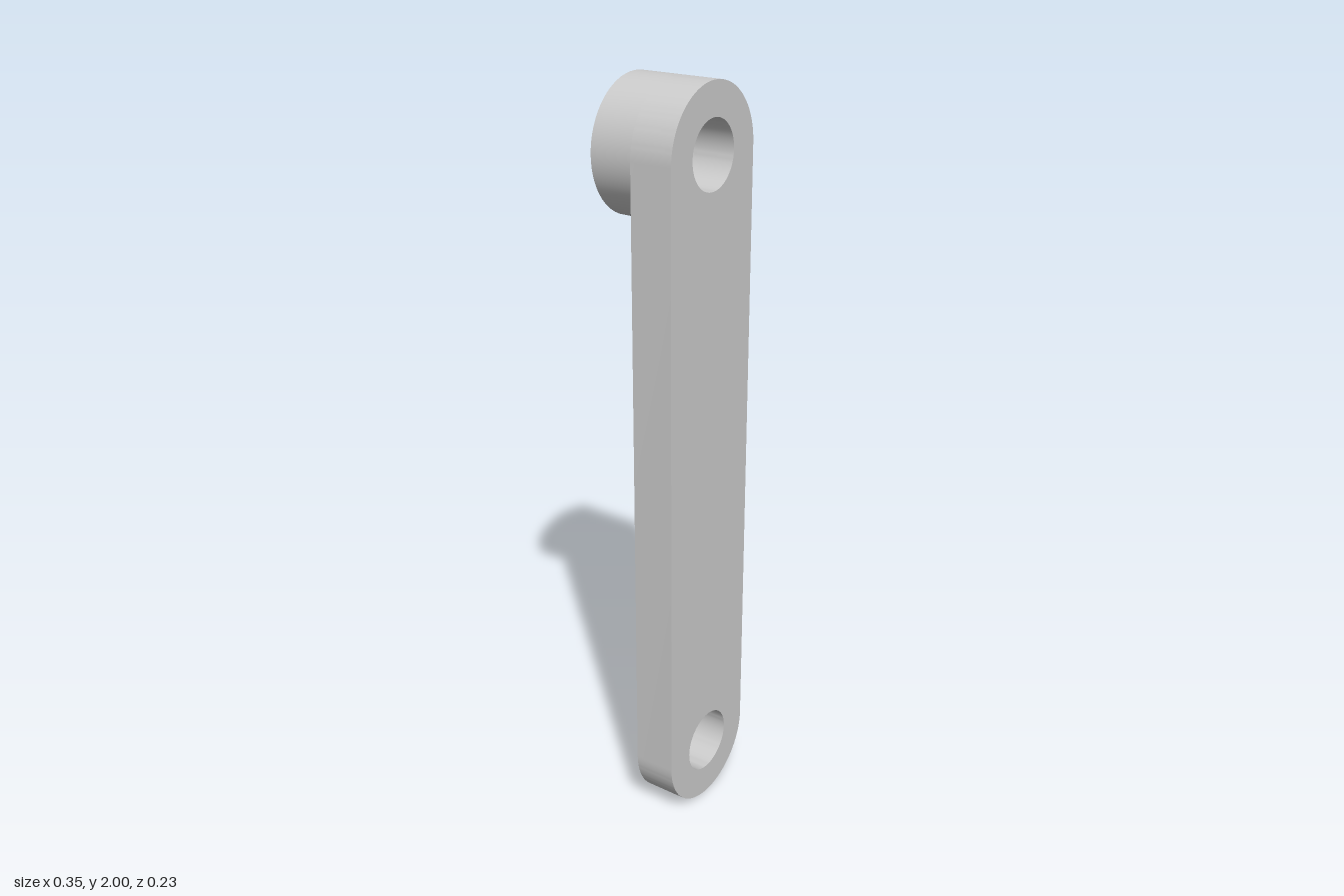
import * as THREE from 'three';
import { toCreasedNormals } from 'three/addons/utils/BufferGeometryUtils.js';

const R = 0.173;       // outer radius of both ends
const BORE = 0.0875;   // pin hole radius
const DEPTH = 0.115;   // thickness of plate and of boss
const LOW = R, HIGH = 2 - R;

export function createModel() {
  const group = new THREE.Group();
  const material = new THREE.MeshStandardMaterial({ color: 0xcccccc });

  const add = (name, geometry) => {
    const mesh = new THREE.Mesh(toCreasedNormals(geometry, Math.PI / 6), material);
    mesh.name = name;
    group.add(mesh);
    return mesh;
  };

  // Flat link with rounded ends and a pin hole at each end
  const outline = new THREE.Shape();
  outline.absarc(0, HIGH, R, 0, Math.PI, false);
  outline.absarc(0, LOW, R, Math.PI, Math.PI * 2, false);
  outline.closePath();
  for (const y of [LOW, HIGH]) {
    const hole = new THREE.Path();
    hole.absarc(0, y, BORE, 0, Math.PI * 2, true);
    outline.holes.push(hole);
  }
  add('linkPlate', new THREE.ExtrudeGeometry(outline, {
    depth: DEPTH, bevelEnabled: false, curveSegments: 32,
  }));

  // Bored boss behind the upper end, left open where it joins the plate
  const profile = [[R, 0], [R, DEPTH], [BORE, DEPTH], [BORE, 0]]
    .map(([r, h]) => new THREE.Vector2(r, h));
  const boss = new THREE.LatheGeometry(profile, 64);
  boss.rotateX(-Math.PI / 2);
  add('upperBoss', boss).position.y = HIGH;

  return group;
}
